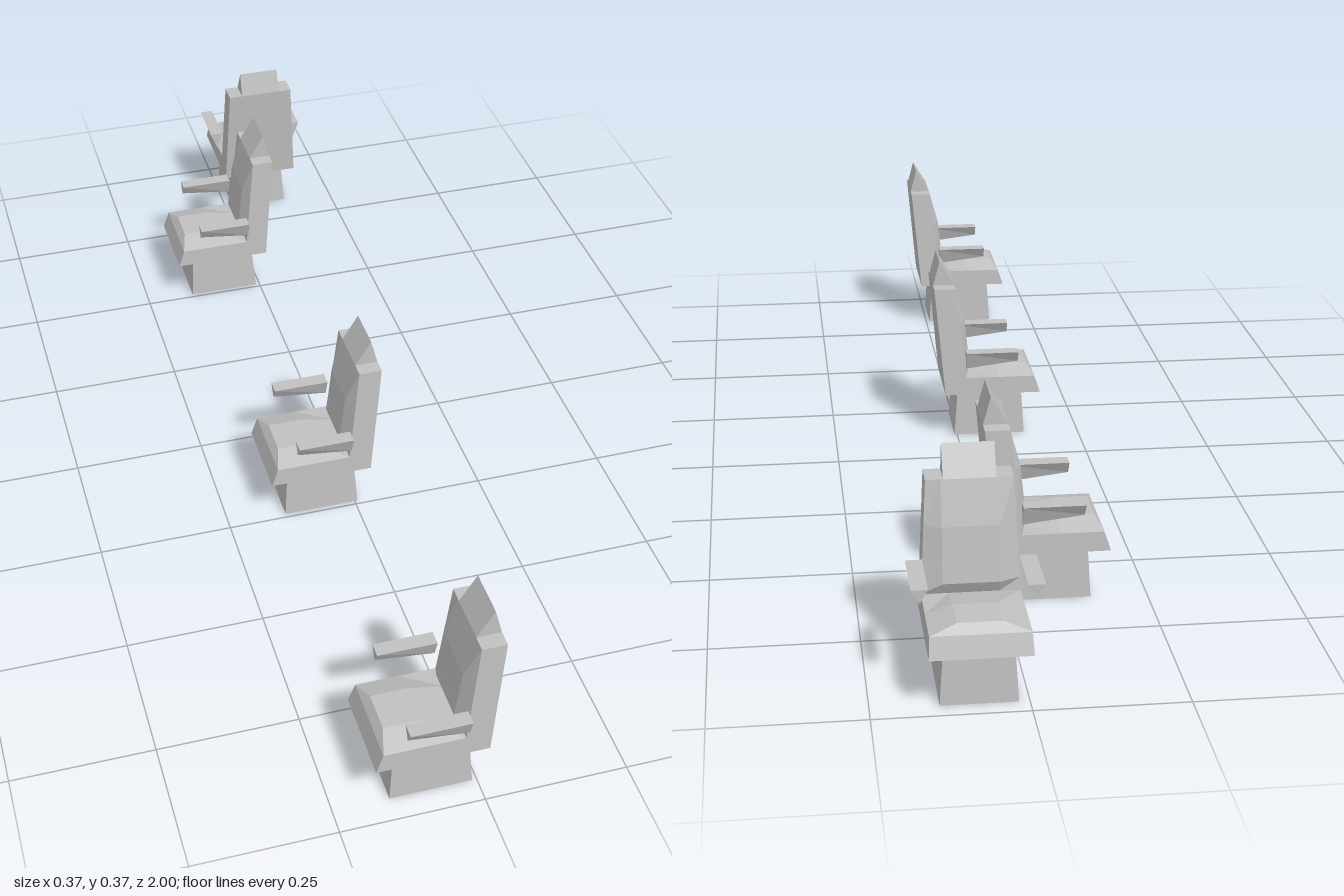
import * as THREE from 'three';

const grey = new THREE.MeshStandardMaterial({ color: 0xc0c0c0, side: THREE.DoubleSide });
grey.name = 'grey';

// half width of the chair body, narrowing towards the top
const halfWidth = (y) => 0.081 - 0.011 * (y - 0.095) / 0.223;

function mesh(name, geometry) {
  const m = new THREE.Mesh(geometry, grey);
  m.name = name;
  return m;
}

// flat-shaded surface through rows of [x, y, z] points (rows run left to right, stacked along the part)
function patch(rows) {
  const pos = [];
  for (let r = 0; r < rows.length - 1; r++) {
    for (let c = 0; c < rows[r].length - 1; c++) {
      const a = rows[r][c], b = rows[r][c + 1], d = rows[r + 1][c], e = rows[r + 1][c + 1];
      pos.push(...a, ...b, ...e, ...a, ...e, ...d);
    }
  }
  const g = new THREE.BufferGeometry();
  g.setAttribute('position', new THREE.Float32BufferAttribute(pos, 3));
  g.computeVertexNormals();
  return g;
}

// side profile [z, y] extruded across x, with half width given by a rule of y
function sideExtrude(points, widthAt) {
  const shape = new THREE.Shape(points.map(([z, y]) => new THREE.Vector2(z, y)));
  const g = new THREE.ExtrudeGeometry(shape, { depth: 2, bevelEnabled: false });
  g.translate(0, 0, -1).rotateY(-Math.PI / 2);
  const p = g.attributes.position;
  for (let i = 0; i < p.count; i++) p.setX(i, p.getX(i) * widthAt(p.getY(i)));
  g.computeVertexNormals();
  return g;
}

function createChair() {
  const chair = new THREE.Group();

  // flared pedestal, open underneath
  const ring = (y, w, back, front) =>
    [[-w, y, front], [w, y, front], [w, y, back], [-w, y, back], [-w, y, front]];
  chair.add(mesh('pedestal', patch([ring(0, 0.062, 0.008, 0.152), ring(0.095, 0.056, 0.015, 0.146)])));

  // L-shaped body: seat slab and backrest
  chair.add(mesh('seatAndBackFrame', sideExtrude(
    [[0.182, 0.095], [0.17, 0.13], [0.03, 0.13], [0.01, 0.318], [-0.033, 0.318], [-0.012, 0.095]],
    halfWidth)));

  // wedge headrest
  chair.add(mesh('headrest', sideExtrude([[0.01, 0.318], [-0.02, 0.367], [-0.033, 0.318]], () => 0.042)));

  // seat cushion, crowned in the middle
  const seatRows = [[0.17, 0.17, 0.13], [0.17, 0.158, 0.145], [0.096, 0.096, 0.145], [0.03, 0.03, 0.131]];
  chair.add(mesh('seatCushion', patch(seatRows.map(([edgeZ, z, y]) => {
    const w = halfWidth(0.13);
    return [[-w, 0.13, edgeZ], [-0.036, y, z], [0.036, y, z], [w, 0.13, edgeZ]];
  }))));

  // back cushion, bulging forward at the lower back
  const backRows = [[0.131, 0.03], [0.152, 0.041], [0.191, 0.036], [0.245, 0.03], [0.318, 0.01]];
  chair.add(mesh('backCushion', patch(backRows.map(([y, z]) => {
    const w = halfWidth(y), edgeZ = 0.03 - 0.02 * (y - 0.13) / 0.188;
    return [[-w, y, edgeZ], [-0.046, y, z], [0.046, y, z], [w, y, edgeZ]];
  }))));

  // floating armrests with a triangular section, shallower at the front
  for (const [name, s] of [['leftArmrest', 1], ['rightArmrest', -1]]) {
    const section = (z, low) => {
      const tri = [[0.09 * s, low, z], [(0.0905 + 0.0135 * s) - 0.0905 + 0.0905 * s, 0.191, z],
        [(0.0905 - 0.0135 * s) - 0.0905 + 0.0905 * s, 0.191, z]];
      // order the outline the same way round on both sides
      tri[1][0] = 0.0905 * s + 0.0135;
      tri[2][0] = 0.0905 * s - 0.0135;
      return [...tri, tri[0]];
    };
    const front = section(0.134, 0.168), back = section(0.029, 0.155);
    const cap = (t) => t.map(() => [0.09 * s, 0.182, t[0][2]]);
    chair.add(mesh(name, patch([cap(back), back, front, cap(front)])));
  }
  return chair;
}

export function createModel() {
  const model = new THREE.Group();
  // x, z and heading of each chair: three face right, one faces backwards
  const places = [
    [0, 0.894, -Math.PI / 2],
    [0.0135, 0.179, -Math.PI / 2],
    [0, -0.57, -Math.PI / 2],
    [0.079, -0.818, Math.PI],
  ];
  places.forEach(([x, z, heading], i) => {
    const chair = createChair();
    chair.name = 'chair' + (i + 1);
    chair.position.set(x, 0, z);
    chair.rotation.y = heading;
    model.add(chair);
  });
  return model;
}
